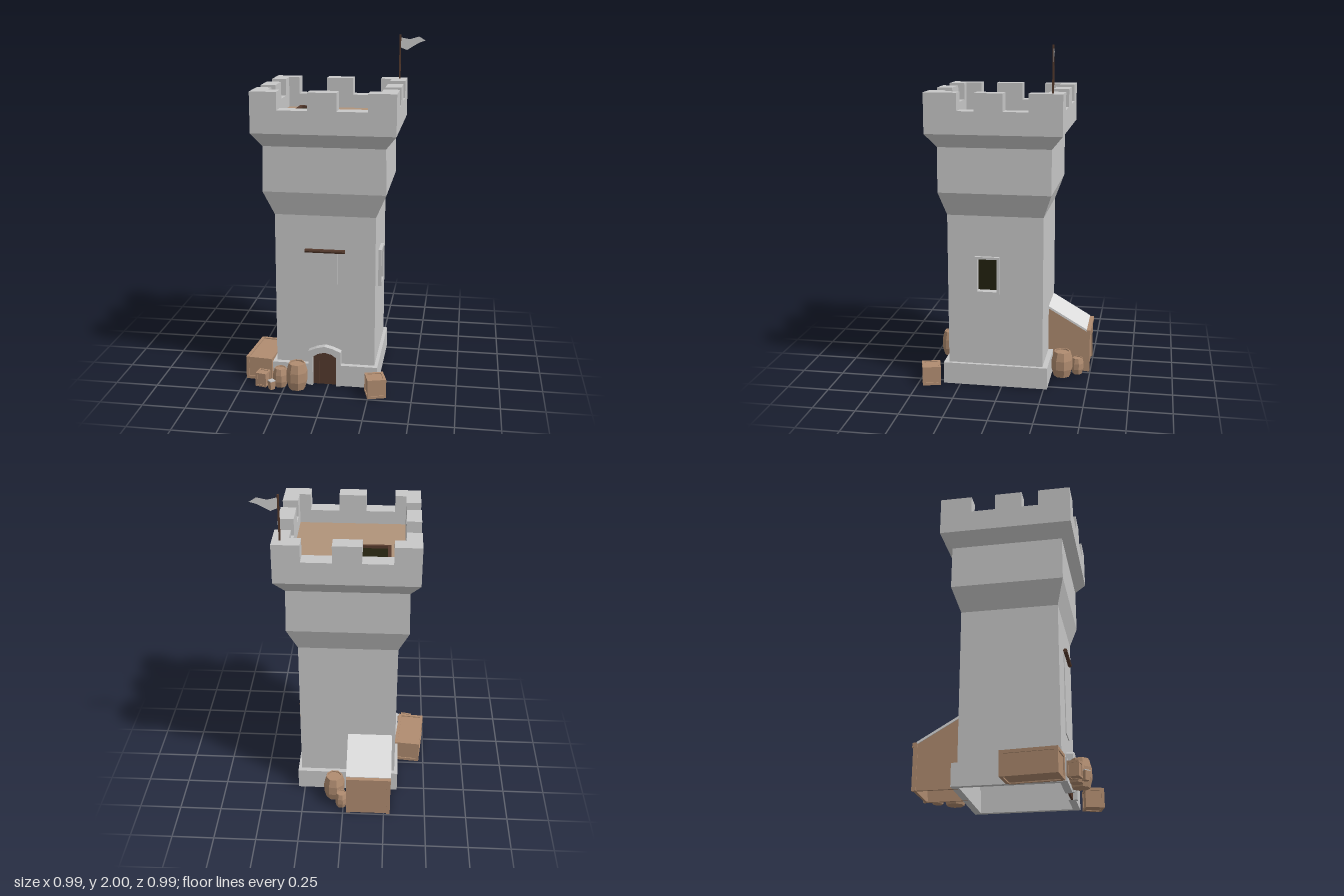
import * as THREE from 'three';

export function createModel() {
  const root = new THREE.Group();
  root.name = 'watchtower';
  const mat = (name, color, extra = {}) =>
    Object.assign(new THREE.MeshStandardMaterial({ color, flatShading: true, ...extra }), { name });
  const stone = mat('stone', 0xc8c8c8, { side: THREE.DoubleSide });
  const slate = mat('pale roof', 0xdcdcdc);
  const cloth = mat('grey cloth', 0xc4c4c4, { side: THREE.DoubleSide });
  const wood = mat('light wood', 0xb0937a);
  const crateWood = mat('crate wood', 0xb08c70);
  const darkWood = mat('dark wood', 0x553a2d);
  const shadow = mat('dark opening', 0x23210f);

  const add = (name, geo, m, parent = root) => {
    const mesh = new THREE.Mesh(geo, m);
    mesh.name = name;
    parent.add(mesh);
    return mesh;
  };
  // Box given by its limits
  const box = (name, x0, x1, y0, y1, z0, z1, m, parent) => {
    const b = add(name, new THREE.BoxGeometry(x1 - x0, y1 - y0, z1 - z0), m, parent);
    b.position.set((x0 + x1) / 2, (y0 + y1) / 2, (z0 + z1) / 2);
    return b;
  };
  const shapeOf = pts => new THREE.Shape(pts.map(p => new THREE.Vector2(...p)));
  const rect = (x0, x1, y0, y1) => [[x0, y0], [x1, y0], [x1, y1], [x0, y1]];
  const extrude = (shape, depth) => new THREE.ExtrudeGeometry(shape, { depth, bevelEnabled: false });
  const withHole = (outer, inner) => {
    const s = shapeOf(outer);
    s.holes.push(new THREE.Path(inner.map(p => new THREE.Vector2(...p))));
    return s;
  };

  // Tower walls: square rings [y, x0, x1, z0, z1]; the lowest right wall is added with its window hole
  const rings = [
    [0.12, -0.31, 0.27, -0.24, 0.32],
    [1.03, -0.31, 0.27, -0.24, 0.32],
    [1.17, -0.37, 0.33, -0.29, 0.36],
    [1.43, -0.365, 0.325, -0.29, 0.36],
    [1.51, -0.42, 0.385, -0.355, 0.42],
  ];
  const corners = ([y, x0, x1, z0, z1]) => [[x0, y, z1], [x1, y, z1], [x1, y, z0], [x0, y, z0]];
  const pos = [];
  for (let i = 0; i < rings.length - 1; i++) {
    const a = corners(rings[i]), b = corners(rings[i + 1]);
    for (let k = 0; k < 4; k++) {
      if (i === 0 && k === 1) continue;
      const n = (k + 1) % 4;
      pos.push(...a[k], ...a[n], ...b[n], ...a[k], ...b[n], ...b[k]);
    }
  }
  const wallGeo = new THREE.BufferGeometry();
  wallGeo.setAttribute('position', new THREE.Float32BufferAttribute(pos, 3));
  wallGeo.computeVertexNormals();
  add('towerWalls', wallGeo, stone);

  // Right wall and recessed window (shape x runs along -z)
  const opening = rect(-0.143, -0.028, 0.582, 0.776);
  const rightWall = add('rightWall', new THREE.ShapeGeometry(withHole(rect(-0.32, 0.24, 0.12, 1.03), opening)), stone);
  rightWall.rotation.y = Math.PI / 2;
  rightWall.position.x = 0.27;
  const frame = add('windowFrame', extrude(withHole(rect(-0.157, -0.014, 0.568, 0.79), opening), 0.045), stone);
  frame.rotation.y = Math.PI / 2;
  frame.position.x = 0.244;
  box('windowOpening', 0.238, 0.245, 0.575, 0.782, 0.02, 0.15, shadow);

  // Plinth ring with a gap for the door (shape y runs along -z)
  const plinth = add('plinth', extrude(shapeOf([
    [0.05, -0.35], [0.29, -0.35], [0.29, 0.27], [-0.33, 0.27], [-0.33, -0.35], [-0.09, -0.35],
    [-0.09, -0.31], [-0.3, -0.31], [-0.3, 0.23], [0.26, 0.23], [0.26, -0.31], [0.05, -0.31],
  ]), 0.13), stone);
  plinth.rotation.x = -Math.PI / 2;

  // Parapet and merlons
  const parapet = add('parapet', extrude(withHole(rect(-0.42, 0.385, -0.42, 0.355), rect(-0.335, 0.295, -0.328, 0.265)), 0.13), stone);
  parapet.rotation.x = -Math.PI / 2;
  parapet.position.y = 1.51;
  for (const [z0, z1] of [[0.328, 0.42], [-0.355, -0.265]])
    for (const [x0, x1] of [[-0.42, -0.27], [-0.1, 0.06], [0.23, 0.385]])
      box('merlon', x0, x1, 1.64, 1.74, z0, z1, stone);
  for (const [x0, x1] of [[-0.42, -0.335], [0.295, 0.385]])
    for (const [z0, z1] of [[-0.265, -0.167], [-0.025, 0.135], [0.232, 0.328]])
      box('merlon', x0, x1, 1.64, 1.74, z0, z1, stone);

  // Roof deck and hatch
  box('roofDeck', -0.335, 0.295, 1.54, 1.56, -0.265, 0.328, wood);
  const hatch = add('hatchFrame', extrude(withHole(rect(-0.255, -0.07, -0.005, 0.19), rect(-0.235, -0.087, 0.013, 0.172)), 0.02), darkWood);
  hatch.rotation.x = -Math.PI / 2;
  hatch.position.y = 1.56;
  box('hatchOpening', -0.237, -0.085, 1.558, 1.565, -0.174, -0.011, shadow);

  // Door with arched surround
  const arch = add('doorSurround', extrude(shapeOf([
    [-0.115, 0], [-0.09, 0], [-0.09, 0.18], [-0.06, 0.2], [-0.02, 0.21], [0.02, 0.2], [0.05, 0.18], [0.05, 0],
    [0.075, 0], [0.075, 0.215], [0.03, 0.235], [-0.02, 0.247], [-0.07, 0.235], [-0.115, 0.215],
  ]), 0.045), stone);
  arch.position.z = 0.315;
  const doorTop = x => 0.208 - 0.4 * Math.abs(x + 0.02);
  for (let i = 0; i < 4; i++) {
    const a = -0.09 + i * 0.035, b = a + 0.034;
    const plank = add('doorPlank', extrude(shapeOf([[a, 0], [b, 0], [b, doorTop(b)], [a, doorTop(a)]]), 0.012), darkWood);
    plank.position.z = 0.323;
  }

  // Hanging banner and its rod
  const rod = add('bannerRod', new THREE.CylinderGeometry(0.012, 0.012, 0.23, 8), darkWood);
  rod.rotation.z = Math.PI / 2;
  rod.position.set(-0.02, 0.825, 0.335);
  box('banner', -0.09, 0.05, 0.34, 0.82, 0.32, 0.325, stone);

  // Flag on the back corner
  box('flagPole', 0.336, 0.346, 1.74, 2, -0.3, -0.29, darkWood);
  const flag = add('flag', new THREE.ShapeGeometry(shapeOf([
    [0, 0.985], [0, 0.925], [0.04, 0.91], [0.08, 0.935], [0.115, 0.955], [0.15, 0.966], [0.11, 0.99], [0.055, 0.974],
  ])), cloth);
  flag.position.set(0.343, 1, -0.295);
  flag.rotation.y = 0.16;

  // Lean-to shed at the back (side profile x runs along -z)
  const shed = new THREE.Group();
  shed.name = 'shed';
  root.add(shed);
  for (const x of [-0.285, -0.04]) {
    const side = add('shedSide', extrude(shapeOf([[0.24, 0], [0.485, 0], [0.485, 0.255], [0.24, 0.4]]), 0.015), crateWood, shed);
    side.rotation.y = Math.PI / 2;
    side.position.x = x;
  }
  box('shedBack', -0.28, -0.03, 0, 0.25, -0.487, -0.472, crateWood, shed);
  for (const x of [-0.288, -0.043]) box('shedPost', x, x + 0.022, 0, 0.24, -0.495, -0.47, crateWood, shed);
  box('shedBeam', -0.29, -0.02, 0.24, 0.268, -0.5, -0.472, crateWood, shed);
  const roof = add('shedRoof', extrude(shapeOf([[0.24, 0.395], [0.476, 0.258], [0.476, 0.272], [0.24, 0.41]]), 0.27), slate, shed);
  roof.rotation.y = Math.PI / 2;
  roof.position.x = -0.29;

  // Crates: recessed core with twelve edge battens
  const crate = (name, x, z, w, h, d, turn, t) => {
    const g = new THREE.Group();
    g.name = name;
    g.position.set(x, h / 2, z);
    g.rotation.y = turn;
    root.add(g);
    const e = t * 0.35;
    add('cratePanels', new THREE.BoxGeometry(w - 2 * e, h - 2 * e, d - 2 * e), crateWood, g);
    for (const a of [-1, 1]) for (const b of [-1, 1]) {
      const px = a * (w - t) / 2, pz = b * (d - t) / 2;
      add('batten', new THREE.BoxGeometry(t, h, t), crateWood, g).position.set(px, 0, pz);
      add('batten', new THREE.BoxGeometry(w - 2 * t, t, t), crateWood, g).position.set(0, a * (h - t) / 2, pz);
      add('batten', new THREE.BoxGeometry(t, t, d - 2 * t), crateWood, g).position.set(px, b * (h - t) / 2, 0);
    }
  };
  crate('longCrate', -0.405, 0.178, 0.16, 0.14, 0.312, -0.096, 0.018);
  crate('rightCrate', 0.287, 0.427, 0.109, 0.114, 0.109, 0.28, 0.015);
  crate('smallCrate', -0.383, 0.395, 0.066, 0.084, 0.066, -0.2, 0.011);

  // Eight-sided barrels with a sunken lid
  const barrel = (x, z, r, h) => {
    const pts = [[0, 0], [0.78, 0], [1, 0.32], [1, 0.68], [0.78, 1], [0.66, 1], [0.66, 0.95], [0, 0.95]];
    const b = add('barrel', new THREE.LatheGeometry(pts.map(p => new THREE.Vector2(p[0] * r, p[1] * h)), 8), crateWood);
    b.position.set(x, 0, z);
    b.rotation.y = 0.3;
  };
  barrel(-0.176, 0.405, 0.062, 0.158);
  barrel(-0.277, 0.392, 0.044, 0.114);
  barrel(0.012, -0.425, 0.038, 0.1);
  barrel(0.06, -0.335, 0.065, 0.156);

  // Small filled bucket
  const bucket = add('bucket', new THREE.CylinderGeometry(0.025, 0.02, 0.05, 4), crateWood);
  bucket.position.set(-0.32, 0.025, 0.445);
  const fill = add('bucketFill', new THREE.CylinderGeometry(0.024, 0.024, 0.006, 4), cloth);
  fill.position.set(-0.32, 0.052, 0.445);

  return root;
}
